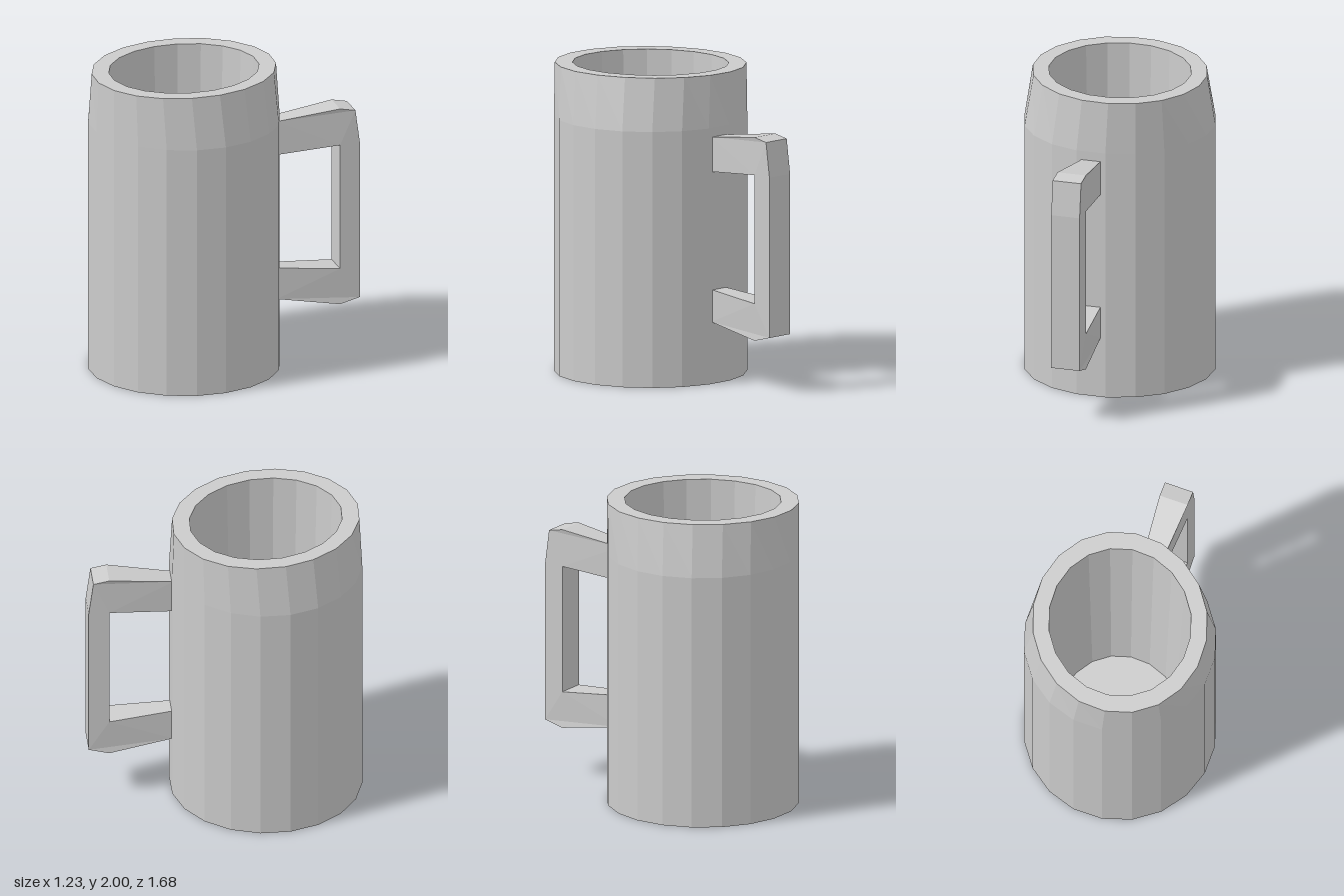
import * as THREE from 'three';

const SIDES = 20;
const CENTRE_Z = 0.222;
const grey = () => new THREE.MeshStandardMaterial({ color: 0xcccccc, flatShading: true });

// Round body whose rim and hollow are narrowed across x into an oval
function makeBody() {
  const profile = [
    [0, 0], [0.617, 0], [0.617, 1.66], [0.617, 2], // outside
    [0.503, 2], [0.443, 0.16], [0, 0.16],          // rim, hollow, floor
  ].map(([r, y]) => new THREE.Vector2(r, y));
  const geo = new THREE.LatheGeometry(profile, SIDES).toNonIndexed();
  const p = geo.attributes.position;
  for (let i = 0; i < p.count; i++) {
    const y = p.getY(i);
    if (y > 1.9 || (y > 0.1 && y < 1)) p.setX(i, p.getX(i) * 0.907);
  }
  geo.computeVertexNormals();
  const body = new THREE.Mesh(geo, grey());
  body.name = 'mugBody';
  return body;
}

// C-shaped handle: side outline extruded, then narrowed where it meets the body
function makeHandle() {
  const outline = [
    [0.6, 1.6], [0.6, 1.375], [1.013, 1.41], [1.013, 0.575], [0.6, 0.61], [0.6, 0.4],
    [1.013, 0.335], [1.145, 0.37], [1.145, 1.41], [1.115, 1.635], [1.013, 1.655],
  ].map(([d, y]) => new THREE.Vector2(d, y));
  const geo = new THREE.ExtrudeGeometry(new THREE.Shape(outline), { depth: 1, bevelEnabled: false });
  geo.translate(0, 0, -0.5);
  const p = geo.attributes.position;
  for (let i = 0; i < p.count; i++) {
    const width = THREE.MathUtils.mapLinear(Math.min(p.getX(i), 1.013), 0.6, 1.013, 0.125, 0.19);
    p.setZ(i, p.getZ(i) * width);
  }
  geo.computeVertexNormals();
  const handle = new THREE.Mesh(geo, grey());
  handle.name = 'handle';
  handle.rotation.y = THREE.MathUtils.degToRad(63); // centred on one facet at the back left
  return handle;
}

export function createModel() {
  const mug = new THREE.Group();
  mug.name = 'mug';
  mug.add(makeBody(), makeHandle());
  mug.position.z = CENTRE_Z;
  const root = new THREE.Group();
  root.add(mug);
  return root;
}
